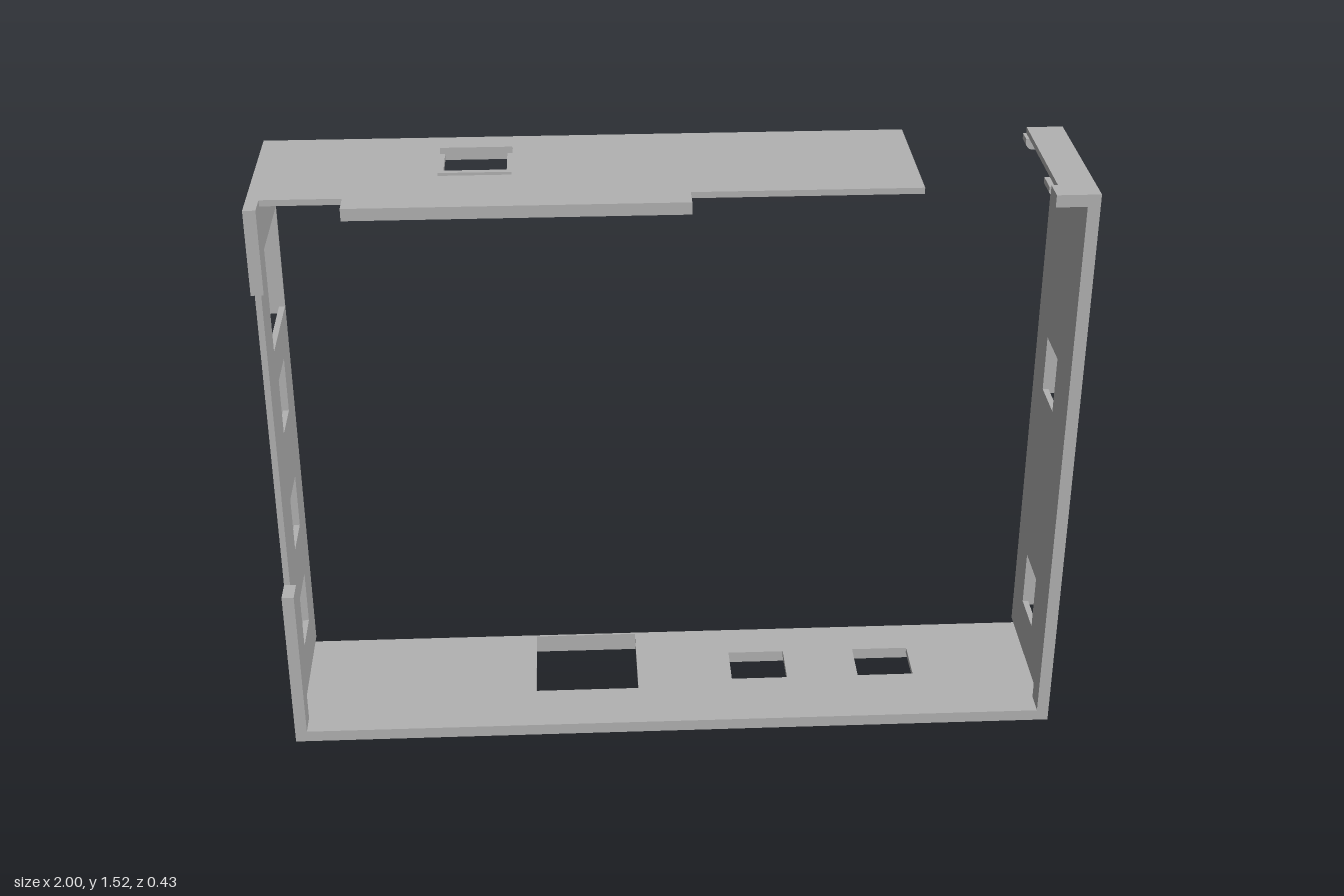
import * as THREE from 'three';

const T = 0.015;                 // sheet thickness
const BACK = -0.217, MID = 0.157, FRONT = 0.217;
const grey = new THREE.MeshStandardMaterial({ color: 0xb2b2b2 });
grey.name = 'grey';

// Box from its minimum and maximum corners
function box(parent, name, x0, x1, y0, y1, z0, z1) {
  const mesh = new THREE.Mesh(new THREE.BoxGeometry(x1 - x0, y1 - y0, z1 - z0), grey);
  mesh.position.set((x0 + x1) / 2, (y0 + y1) / 2, (z0 + z1) / 2);
  mesh.name = name;
  parent.add(mesh);
  return mesh;
}

// Sheet with windows; local x runs along the sheet, y is depth, z points outward
function panel(name, from, to, windows, notch) {
  const group = new THREE.Group();
  group.name = name;
  const s = new THREE.Shape();
  s.moveTo(from, BACK);
  if (notch !== undefined) {
    const a = notch - 0.135, b = notch + 0.135;
    s.lineTo(a, BACK); s.lineTo(a, 0.045); s.lineTo(b, 0.045); s.lineTo(b, BACK);
    // Tall rear rim and low front rim of the large opening
    box(group, 'largeRearRim', a - 0.02, b + 0.02, 0, 0.006, 0, 0).geometry.dispose();
    group.clear();
    box(group, 'largeRearRim', a - 0.02, b + 0.02, BACK, BACK + 0.006, 0, 0.05);
    box(group, 'largeFrontRim', a - 0.02, b + 0.02, 0.045, 0.062, T, T + 0.008);
  }
  s.lineTo(to, BACK); s.lineTo(to, MID); s.lineTo(from, MID); s.closePath();
  for (const c of windows) {
    const a = c - 0.074, b = c + 0.074;
    const hole = new THREE.Path();
    hole.moveTo(a, -0.107); hole.lineTo(a, 0.015); hole.lineTo(b, 0.015); hole.lineTo(b, -0.107);
    hole.closePath();
    s.holes.push(hole);
    box(group, 'windowRearRim', a - 0.012, b + 0.012, -0.112, -0.107, T, T + 0.016);
    box(group, 'windowFrontRim', a - 0.012, b + 0.012, 0.015, 0.03, T, T + 0.007);
  }
  const sheet = new THREE.Mesh(new THREE.ExtrudeGeometry(s, { depth: T, bevelEnabled: false }), grey);
  sheet.name = name + 'Sheet';
  group.add(sheet);
  return group;
}

// Place a panel: direction along the sheet, outward direction, inner face position
function place(root, group, along, outward, offset) {
  const m = new THREE.Matrix4().makeBasis(along, new THREE.Vector3(0, 0, 1), outward);
  m.setPosition(outward.clone().multiplyScalar(offset));
  group.applyMatrix4(m);
  root.add(group);
}

// Snap hook: small wedge profile in x/y, extruded through z
function hook(root, name, x, y, z, dir, length, width) {
  const s = new THREE.Shape();
  s.moveTo(0, 0);
  s.lineTo(length, 0);
  s.lineTo(length, -0.014);
  s.quadraticCurveTo(length * 0.8, -0.03, length * 0.45, -0.028);
  s.lineTo(0, -0.012);
  s.closePath();
  const geo = new THREE.ExtrudeGeometry(s, { depth: width, bevelEnabled: false, curveSegments: 4 });
  geo.translate(0, 0, -width / 2);
  const mesh = new THREE.Mesh(geo, grey);
  mesh.name = name;
  mesh.position.set(x, y, z);
  if (dir < 0) mesh.rotation.y = Math.PI;
  root.add(mesh);
}

export function createModel() {
  const root = new THREE.Group();
  root.name = 'openFrame';
  const X = new THREE.Vector3(1, 0, 0), Y = new THREE.Vector3(0, 1, 0);
  const nX = X.clone().negate(), nY = Y.clone().negate();
  const L = -0.968, R = 0.982, B = 0.036, TOP = 1.51;

  // Four sheets, the walls stopping short of floor and top
  place(root, panel('floor', L, R, [0.245, 0.583], -0.215), X, nY, -(B + T));
  place(root, panel('top', -0.585, -L, [0.452]), nX, Y, TOP - T);
  place(root, panel('rightTopFlange', -R, -0.893, []), nX, Y, TOP - T);
  place(root, panel('leftWall', -1.474, -0.067, [-0.902, -0.565, -0.268], -1.205), nY, nX, -L - T);
  place(root, panel('rightWall', 0.067, 1.474, [0.914, 0.267]), Y, X, R - T);

  // Front lip bars
  const W = 0.03;
  box(root, 'floorLip', L, R, B, B + W, MID, FRONT);
  box(root, 'rightPost', R - W, R, B + W, TOP, MID, FRONT);
  box(root, 'rightTopLip', 0.878, R - W, TOP - W, TOP, MID, FRONT);
  box(root, 'leftLowerPost', L, L + W, B + W, 0.475, MID, FRONT);
  box(root, 'leftUpperPost', L, L + W, 1.3, TOP, MID, FRONT);
  box(root, 'topLip', -0.75, 0.045, TOP - W, TOP, MID, FRONT);

  // Snap hooks at the gap in the top
  hook(root, 'topHook', 0.505, TOP - T, 0.02, 1, 0.085, 0.05);
  hook(root, 'topHookSide', 0.53, TOP - T, -0.025, 1, 0.06, 0.03);
  hook(root, 'rightFrontHook', 0.935, TOP - T, 0.1, -1, 0.055, 0.06);
  hook(root, 'rightRearHook', 0.925, TOP - T, -0.195, -1, 0.04, 0.04);
  return root;
}
